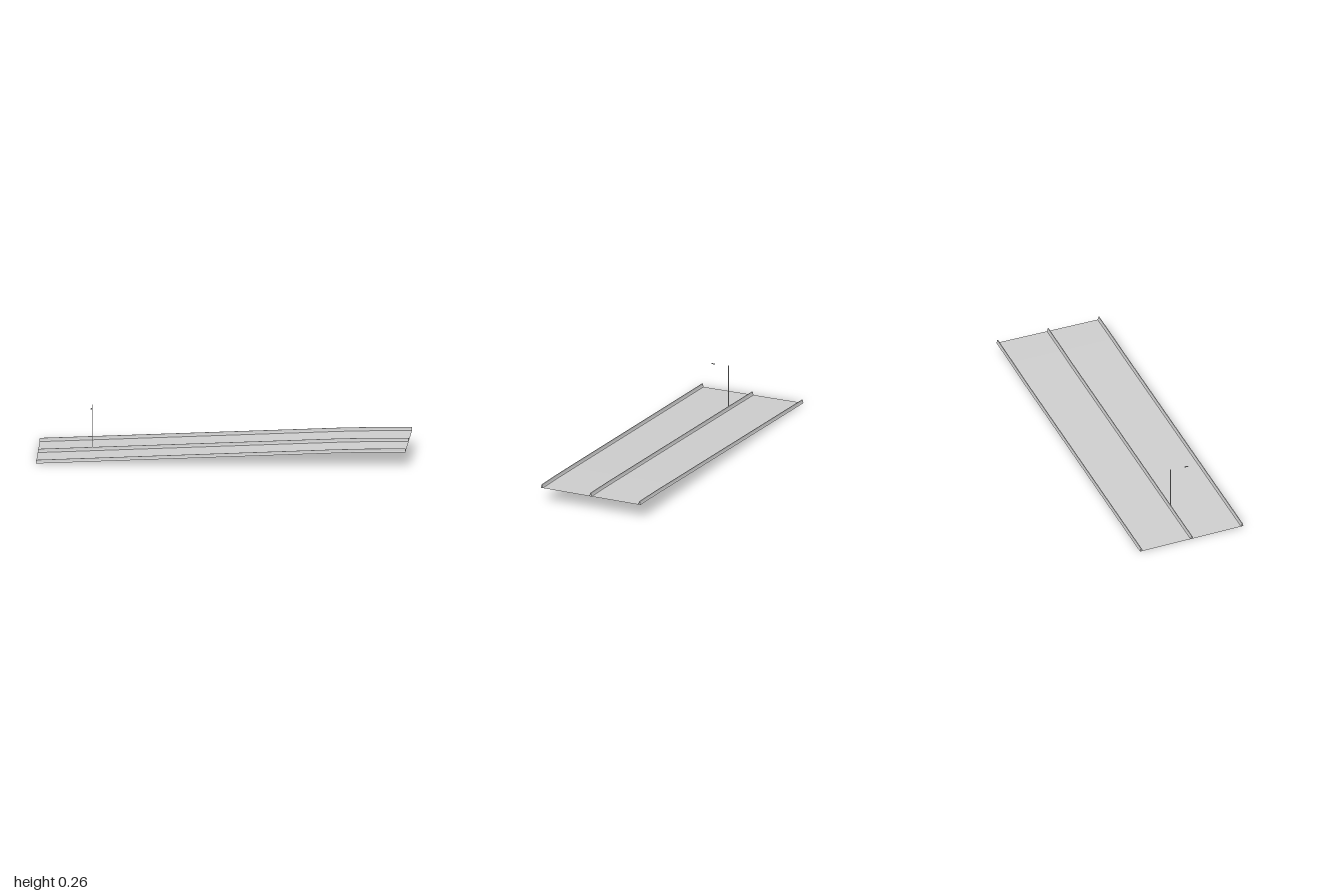
import * as THREE from 'three';

// Road centre stations: x, y, z, then the sideways half-width vector (x, z)
const stations = [
  [-0.958, 0, 0.126, 0.042, 0.292],
  [0.6, 0.0695, -0.083, 0.038, 0.291],
  [0.78, 0.0755, -0.1045, 0.036, 0.2905],
  [0.966, 0.078, -0.126, 0.034, 0.29],
];

// Point on the road: side runs from -1 (back edge) to 1 (front edge)
function roadPoint([x, y, z, wx, wz], side, up = 0) {
  return [x + wx * side, y + up, z + wz * side];
}

// Lofts a cross-section of [side, up] points along the road
function loft(profile, closed) {
  const rings = stations.map((s) => profile.map(([side, up]) => roadPoint(s, side, up)));
  const pos = [];
  const quad = (a, b, c, d) => pos.push(...a, ...b, ...c, ...a, ...c, ...d);
  const n = profile.length;
  for (let i = 0; i < rings.length - 1; i++) {
    for (let j = 0; j < (closed ? n : n - 1); j++) {
      const k = (j + 1) % n;
      quad(rings[i][j], rings[i][k], rings[i + 1][k], rings[i + 1][j]);
    }
  }
  if (closed) {
    // End caps
    const first = rings[0], last = rings[rings.length - 1];
    for (let j = 1; j < n - 1; j++) {
      pos.push(...first[0], ...first[j + 1], ...first[j]);
      pos.push(...last[0], ...last[j], ...last[j + 1]);
    }
  }
  const geo = new THREE.BufferGeometry();
  geo.setAttribute('position', new THREE.Float32BufferAttribute(pos, 3));
  geo.computeVertexNormals();
  return geo;
}

export function createModel() {
  const group = new THREE.Group();
  const concrete = new THREE.MeshStandardMaterial({ color: 0xcccccc, side: THREE.DoubleSide });
  concrete.name = 'concrete grey';

  const add = (name, geometry, x = 0, y = 0, z = 0) => {
    const mesh = new THREE.Mesh(geometry, concrete);
    mesh.name = name;
    mesh.position.set(x, y, z);
    group.add(mesh);
    return mesh;
  };

  // Thin road deck
  add('roadDeck', loft([[-1, 0], [1, 0]], false));

  // Tapered barriers along both edges and the middle
  const half = 0.007 / 0.293;
  const section = [[-1, 0], [1, 0], [0.55, 0.007], [0.25, 0.018], [-0.25, 0.018], [-0.55, 0.007]];
  [['backBarrier', -1 + half], ['middleBarrier', 0], ['frontBarrier', 1 - half]].forEach(([name, centre]) => {
    add(name, loft(section.map(([s, up]) => [centre + s * half, up]), true));
  });

  // Lamp post and its separate hanging lamp head
  add('lampPost', new THREE.BoxGeometry(0.002, 0.244, 0.005), -0.675, 0.135, 0.088);
  add('lampHead', new THREE.BoxGeometry(0.006, 0.003, 0.019), -0.664, 0.2525, 0.177);

  return group;
}
